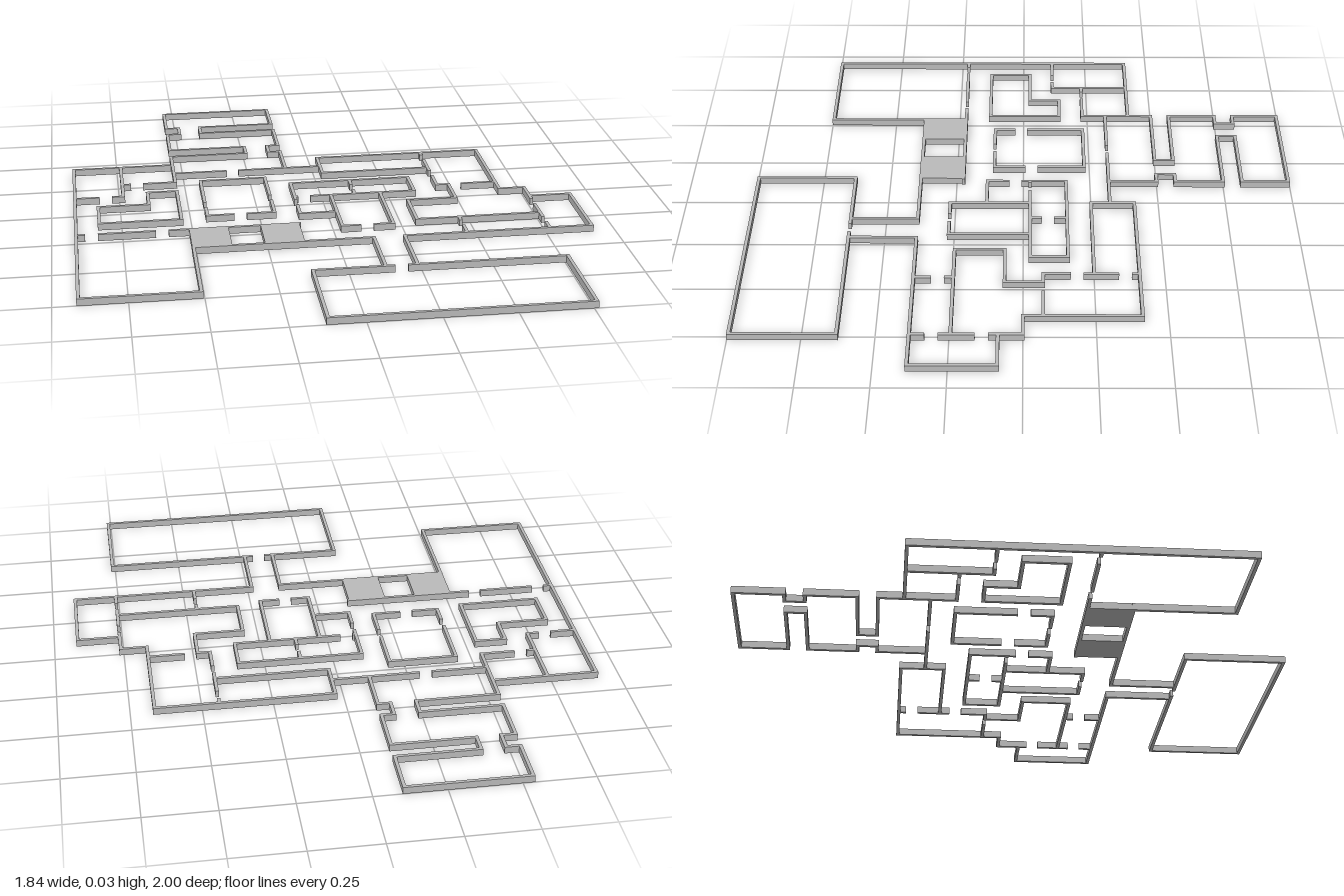
import * as THREE from 'three';

const T = 0.012, H = 0.025, DOOR = 0.045; // wall thickness, wall height, doorway width

// Walls running along x: [z, x start, x end, doorway centres...]
const crossWalls = {
  northRooms: [
    [-0.994, -0.535, -0.105],
    [-0.82, -0.535, -0.485], [-0.82, -0.4, -0.105],
    [-0.75, -0.535, -0.485], [-0.75, -0.4, -0.105],
    [-0.57, -0.535, -0.24], [-0.57, -0.15, -0.105],
    [-0.5, -0.535, -0.24], [-0.5, -0.15, -0.105],
    [-0.32, -0.535, 0.03, -0.31],
  ],
  westWing: [
    [-0.41, -0.914, -0.535], [-0.23, -0.735, -0.535, -0.68], [-0.115, -0.914, -0.735, -0.8],
    [0.225, -0.914, -0.51, -0.86, -0.61], [0.745, -0.914, -0.51],
    [-0.14, -0.645, -0.535], [-0.025, -0.83, -0.645], [0.13, -0.83, -0.535],
  ],
  centralRooms: [
    [-0.23, -0.44, -0.195], [0.11, -0.44, -0.195, -0.32],
    [-0.16, -0.105, 0.345], [-0.025, -0.105, 0.345, -0.07], [0.135, -0.105, 0.03],
    [0.27, 0.03, 0.215, 0.12],
  ],
  eastWing: [
    [-0.41, 0.03, 0.665], [-0.25, 0.03, 0.44], [-0.07, 0.44, 0.665, 0.51],
    [0, 0.665, 0.76], [0.085, 0.76, 0.914], [0.065, 0.305, 0.485],
    [0.245, 0.305, 0.76], [0.385, 0.235, 0.914],
  ],
  southHall: [
    [0.385, -0.12, 0.125], [0.63, -0.125, 0.76, 0.18], [0.994, -0.125, 0.76],
  ],
  porch: [[0.225, -0.51, -0.12], [0.385, -0.51, -0.12]],
};

// Walls running along z: [x, z start, z end, doorway centres...]
const lengthWalls = {
  northRooms: [
    [-0.535, -0.994, -0.82], [-0.105, -0.994, -0.82],
    [-0.485, -0.82, -0.75], [-0.4, -0.82, -0.75],
    [-0.535, -0.75, -0.57], [-0.105, -0.75, -0.57],
    [-0.24, -0.57, -0.5], [-0.15, -0.57, -0.5],
    [-0.535, -0.5, -0.23], [-0.105, -0.5, -0.32],
  ],
  westWing: [
    [-0.914, -0.41, 0.745], [-0.735, -0.41, -0.115], [-0.51, 0.385, 0.745],
    [-0.645, -0.14, -0.025], [-0.83, -0.025, 0.13], [-0.535, -0.14, 0.13],
  ],
  centralRooms: [
    [-0.44, -0.23, 0.11, 0.01], [-0.195, -0.23, 0.11, -0.03],
    [-0.105, -0.16, 0.135, 0.03], [0.12, -0.16, -0.025, -0.09], [0.345, -0.16, -0.025],
    [0.03, -0.025, 0.27], [0.215, -0.025, 0.27],
  ],
  eastWing: [
    [0.03, -0.41, -0.25], [0.44, -0.41, -0.07, -0.36, -0.19], [0.665, -0.41, 0],
    [0.76, 0, 0.385, 0.14, 0.31], [0.914, 0.085, 0.385], [0.485, -0.07, 0.065],
    [0.305, 0.065, 0.245], [0.46, 0.245, 0.385, 0.3],
  ],
  southHall: [
    [0.125, 0.385, 0.63], [0.235, 0.385, 0.63],
    [-0.125, 0.63, 0.994], [0.76, 0.63, 0.994],
  ],
};

export function createModel() {
  const model = new THREE.Group();
  model.name = 'floorPlan';
  const grey = new THREE.MeshStandardMaterial({ color: 0xbbbbbb });
  grey.name = 'wallGrey';

  const addBox = (parent, name, x0, x1, z0, z1) => {
    const mesh = new THREE.Mesh(new THREE.BoxGeometry(x1 - x0, H, z1 - z0), grey);
    mesh.position.set((x0 + x1) / 2, H / 2, (z0 + z1) / 2);
    mesh.name = name;
    parent.add(mesh);
  };

  // A straight wall, broken at each doorway
  const addWall = (parent, [at, start, end, ...doors], alongX) => {
    const cuts = [start - T / 2];
    doors.forEach((d) => cuts.push(d - DOOR / 2, d + DOOR / 2));
    cuts.push(end + T / 2);
    for (let i = 0; i < cuts.length; i += 2) {
      const across = [at - T / 2, at + T / 2], run = [cuts[i], cuts[i + 1]];
      if (alongX) addBox(parent, 'wall', ...run, ...across);
      else addBox(parent, 'wall', ...across, ...run);
    }
  };

  for (const name of Object.keys(crossWalls)) {
    const wing = new THREE.Group();
    wing.name = name;
    crossWalls[name].forEach((w) => addWall(wing, w, true));
    (lengthWalls[name] || []).forEach((w) => addWall(wing, w, false));
    model.add(wing);
  }

  // Solid blocks either side of the entrance
  const porch = model.getObjectByName('porch');
  addBox(porch, 'entranceBlock', -0.515, -0.375, 0.22, 0.39);
  addBox(porch, 'entranceBlock', -0.26, -0.12, 0.22, 0.39);
  return model;
}
